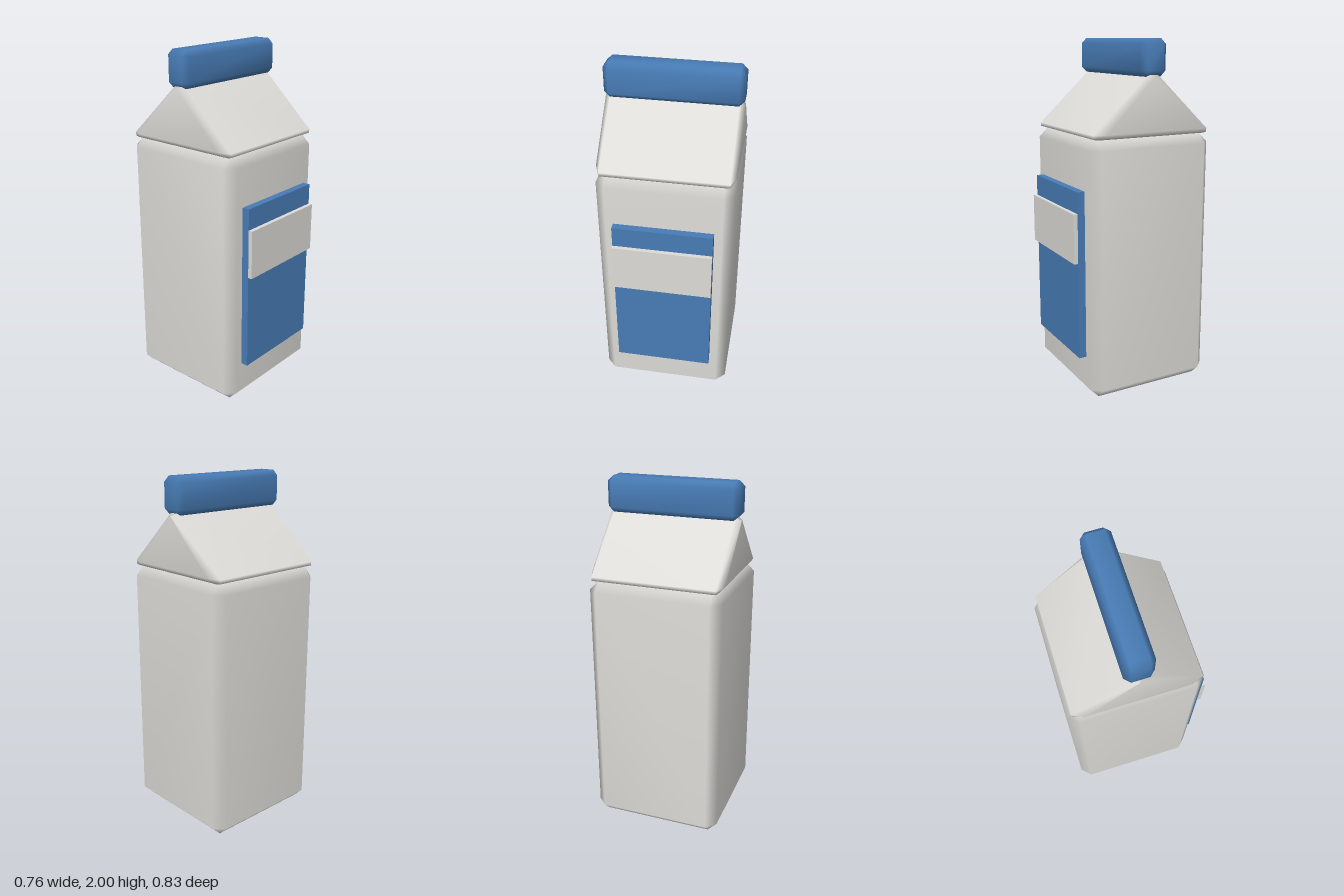
import * as THREE from 'three';
import { mergeVertices } from 'three/addons/utils/BufferGeometryUtils.js';
import { ConvexGeometry } from 'three/addons/geometries/ConvexGeometry.js';

const CENTRE_Z = -0.034;

// Convex solid with shared vertices, so normals blend over the bevels
function smoothSolid(points) {
  const geometry = new ConvexGeometry(points);
  geometry.deleteAttribute('normal');
  const merged = mergeVertices(geometry, 1e-4);
  merged.computeVertexNormals();
  return merged;
}

// Box with every edge cut by a single bevel
function bevelledBox(w, h, d, bevel) {
  const half = [w / 2, h / 2, d / 2];
  const points = [];
  for (const sx of [-1, 1]) for (const sy of [-1, 1]) for (const sz of [-1, 1]) {
    for (let full = 0; full < 3; full++) {
      const [x, y, z] = half.map((s, i) => (i === full ? s : s - bevel));
      points.push(new THREE.Vector3(sx * x, sy * y, sz * z));
    }
  }
  return smoothSolid(points);
}

// Gable prism: full outline inside, smaller outline on the end faces
function gable() {
  const points = [];
  const ring = (x, outline) => {
    for (const sx of [-1, 1]) for (const sz of [-1, 1]) {
      for (const [z, y] of outline) points.push(new THREE.Vector3(sx * x, y, sz * z));
    }
  };
  ring(0.35, [[0.335, 1.48], [0.357, 1.485], [0.358, 1.506], [0.028, 1.812]]);
  ring(0.38, [[0.29, 1.508], [0.008, 1.795]]);
  return smoothSolid(points);
}

export function createModel() {
  const group = new THREE.Group();
  const card = new THREE.MeshStandardMaterial({ name: 'light grey card', color: 0xdddcd8 });
  const blue = new THREE.MeshStandardMaterial({ name: 'blue', color: 0x487cb6 });

  const add = (name, geometry, material, y, z) => {
    const mesh = new THREE.Mesh(geometry, material);
    mesh.name = name;
    mesh.position.set(0, y, z);
    group.add(mesh);
  };

  // Carton
  add('cartonBody', bevelledBox(0.758, 1.48, 0.758, 0.055), card, 0.74, CENTRE_Z);
  add('gableTop', gable(), card, 0, CENTRE_Z);
  add('topSeal', bevelledBox(0.758, 0.2, 0.158, 0.031), blue, 1.9, CENTRE_Z);

  // Front label with a raised band
  add('label', new THREE.BoxGeometry(0.56, 0.96, 0.05), blue, 0.72, 0.363);
  add('labelBand', new THREE.BoxGeometry(0.56, 0.28, 0.024), card, 0.94, 0.4);

  return group;
}
